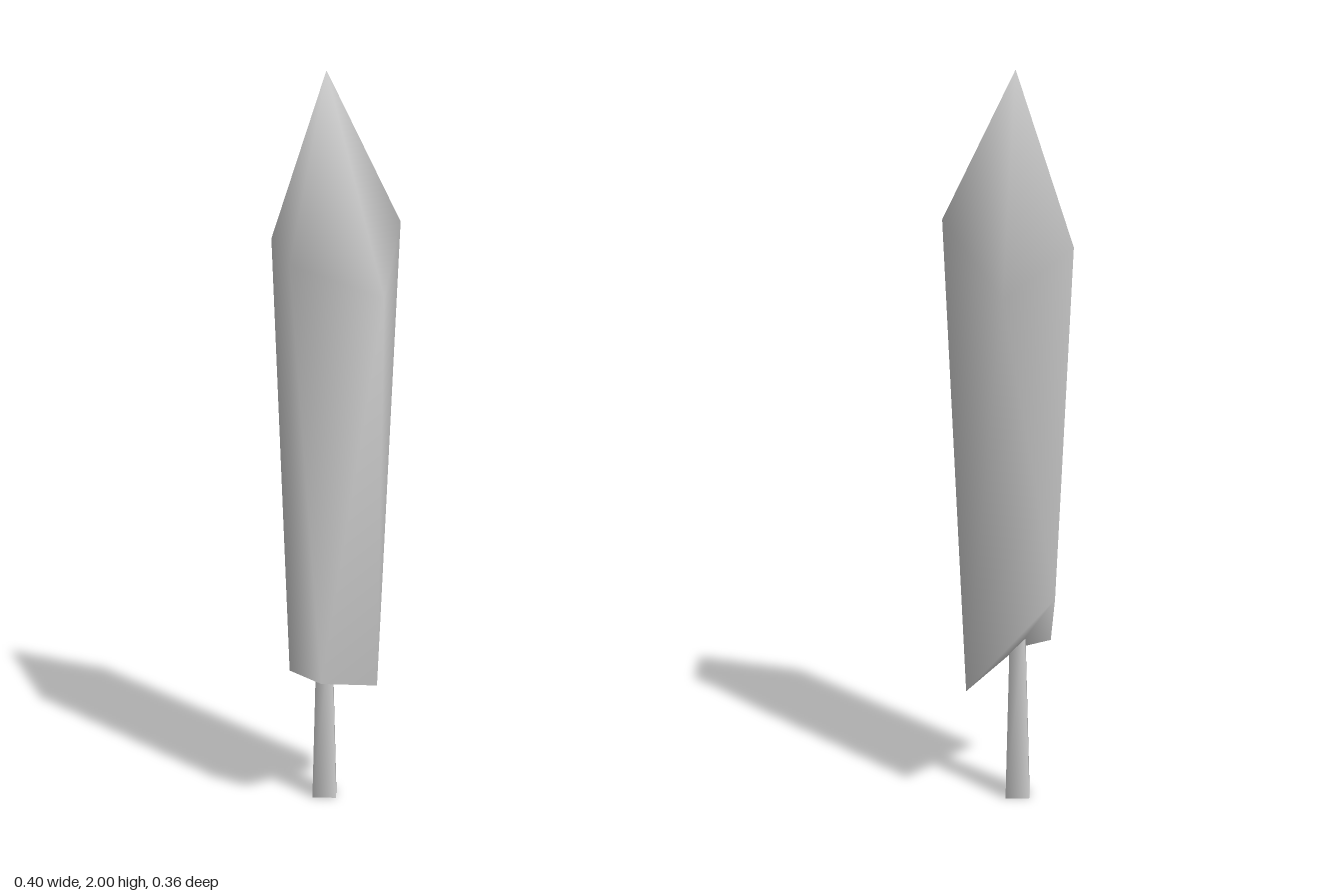
import * as THREE from 'three';

const material = new THREE.MeshStandardMaterial({ color: 0xcccccc });

// Closed smooth solid: top point, two twisted rings of equal count, bottom point.
function twistedSolid(top, upper, lower, bottom) {
  const n = upper.length;
  const points = [top, ...upper, ...lower, bottom];
  const index = [];
  for (let i = 0; i < n; i++) {
    const j = (i + 1) % n;
    const u0 = 1 + i, u1 = 1 + j, l0 = 1 + n + i, l1 = 1 + n + j;
    index.push(0, u1, u0); // pointed crown
    index.push(u0, u1, l0, u1, l1, l0); // sides
    index.push(2 * n + 1, l0, l1); // underside
  }
  const geometry = new THREE.BufferGeometry();
  geometry.setAttribute('position', new THREE.Float32BufferAttribute(points.flat(), 3));
  geometry.setIndex(index);
  geometry.computeVertexNormals();
  return geometry;
}

export function createModel() {
  const tree = new THREE.Group();
  tree.name = 'tree';

  // Tall foliage: uneven five-sided rings, the lower one twisted and slanted
  const shoulder = [
    [-0.2, 1.55, -0.05],
    [-0.065, 1.42, -0.18],
    [0.18, 1.61, -0.09],
    [0.2, 1.42, 0.03],
    [0.005, 1.51, 0.18],
  ];
  const hem = [
    [-0.16, 0.61, -0.07],
    [0.08, 0.33, -0.14],
    [0.14, 0.33, -0.05],
    [0.09, 0.39, 0.165],
    [-0.01, 0.41, 0.165],
  ];
  const foliage = new THREE.Mesh(
    twistedSolid([0, 2, -0.01], shoulder, hem, [0, 0.43, 0]), material);
  foliage.name = 'foliage';
  tree.add(foliage);

  // Four-sided tapering trunk, its top hidden in the foliage
  const trunkHeight = 0.5;
  const trunk = new THREE.Mesh(
    new THREE.CylinderGeometry(0.029, 0.047, trunkHeight, 4), material);
  trunk.name = 'trunk';
  trunk.position.y = trunkHeight / 2;
  trunk.rotation.y = -Math.PI / 12;
  tree.add(trunk);

  return tree;
}
